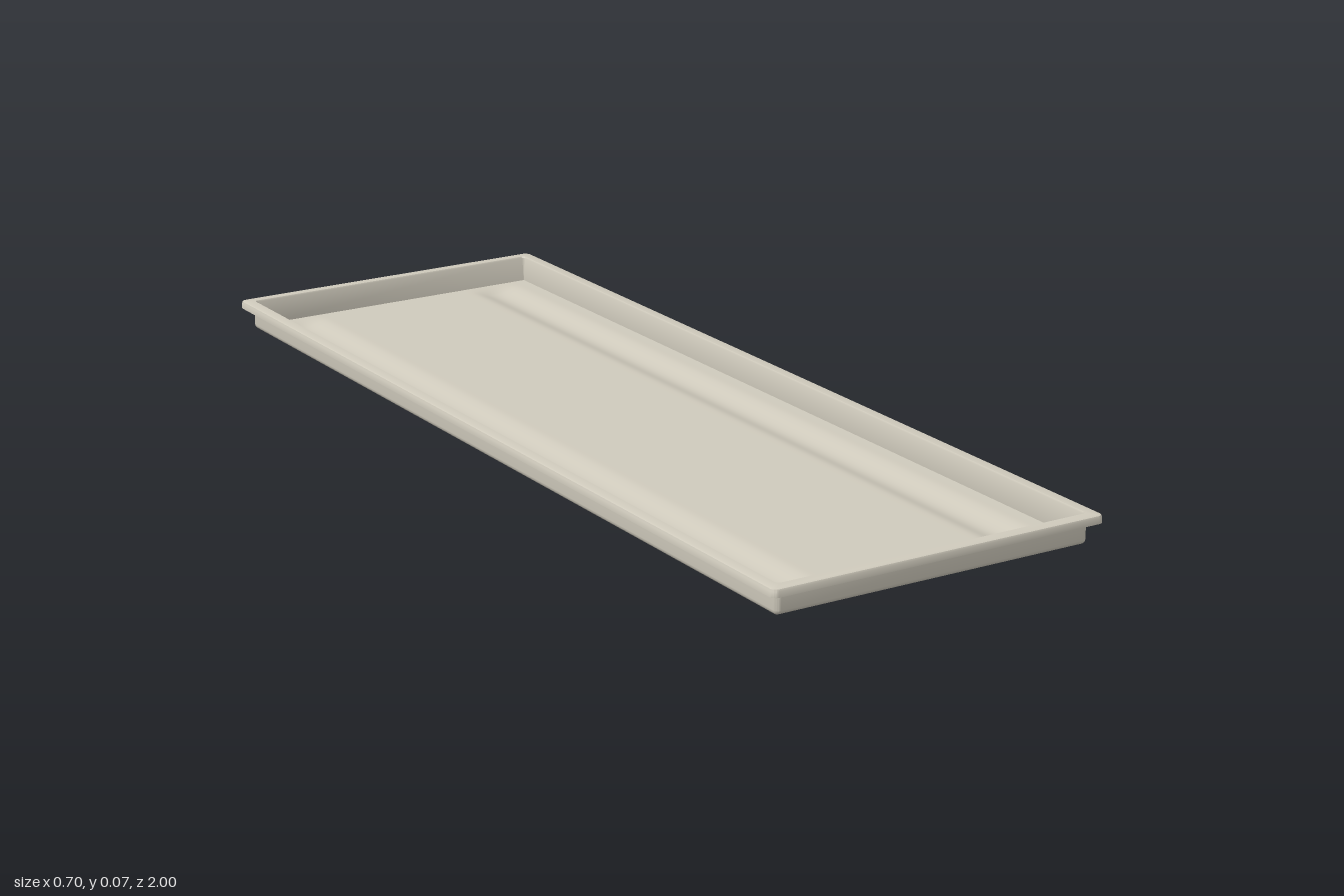
import * as THREE from 'three';
import { toCreasedNormals } from 'three/addons/utils/BufferGeometryUtils.js';

const beige = new THREE.MeshStandardMaterial({ color: 0xcfcabc });
beige.name = 'beige';

// Rounded-rectangle outline, counterclockwise from above
function outline([hx, hz, r, y]) {
  const pts = [];
  const steps = 4;
  for (let c = 0; c < 4; c++) {
    const sx = c === 0 || c === 3 ? 1 : -1;
    const sz = c < 2 ? -1 : 1;
    for (let i = 0; i <= steps; i++) {
      const a = (c + i / steps) * Math.PI / 2;
      pts.push([sx * (hx - r) + r * Math.cos(a), y, sz * (hz - r) - r * Math.sin(a)]);
    }
  }
  return pts;
}

// Skin a series of outlines into one surface
function loft(rings) {
  const pos = [], index = [];
  const n = 20;
  rings.forEach(ring => outline(ring).forEach(p => pos.push(...p)));
  for (let j = 0; j < rings.length - 1; j++) {
    for (let i = 0; i < n; i++) {
      const a = j * n + i, b = j * n + (i + 1) % n;
      index.push(a, b, b + n, a, b + n, a + n);
    }
  }
  const g = new THREE.BufferGeometry();
  g.setAttribute('position', new THREE.Float32BufferAttribute(pos, 3));
  g.setIndex(index);
  return toCreasedNormals(g, 0.7);
}

// Depth of the two long runners pressed into the floor
function runnerDepth(x, z) {
  const d = Math.min(1, Math.abs(Math.abs(x) - 0.235) / 0.06);
  const fade = 1 - THREE.MathUtils.smoothstep(Math.abs(z), 0.93, 0.968);
  return 0.0125 * 0.5 * (1 + Math.cos(Math.PI * d)) * fade;
}

// Flat sheet with the runners pressed down into it
function floorSheet(hx, hz, y, facingUp) {
  const g = new THREE.PlaneGeometry(hx * 2, hz * 2, 80, 100);
  g.rotateX(facingUp ? -Math.PI / 2 : Math.PI / 2);
  const p = g.attributes.position;
  for (let i = 0; i < p.count; i++) p.setY(i, y - runnerDepth(p.getX(i), p.getZ(i)));
  g.computeVertexNormals();
  return g;
}

export function createModel() {
  const model = new THREE.Group();
  model.name = 'tray';
  const add = (name, geometry) => {
    const mesh = new THREE.Mesh(geometry, beige);
    mesh.name = name;
    model.add(mesh);
  };

  // Side walls, rounded at the base
  add('outerWall', loft([
    [0.321, 0.969, 0.001, 0.0125],
    [0.326, 0.974, 0.005, 0.0138],
    [0.329, 0.978, 0.008, 0.017],
    [0.33, 0.98, 0.01, 0.022],
    [0.33, 0.98, 0.01, 0.066],
  ]));
  add('innerWall', loft([
    [0.327, 0.977, 0.008, 0.071],
    [0.325, 0.975, 0.006, 0.068],
    [0.325, 0.975, 0.001, 0.0175],
  ]));

  // Folded rim: underside, skirt and rounded top
  add('rim', loft([
    [0.33, 0.98, 0.01, 0.066],
    [0.345, 0.995, 0.01, 0.066],
    [0.345, 0.995, 0.01, 0.055],
    [0.35, 1, 0.012, 0.055],
    [0.35, 1, 0.012, 0.066],
    [0.3485, 0.9985, 0.011, 0.0695],
    [0.345, 0.995, 0.01, 0.071],
    [0.327, 0.977, 0.008, 0.071],
  ]));

  // Floor with runners showing on both sides
  add('floorTop', floorSheet(0.325, 0.975, 0.0175, true));
  add('floorUnderside', floorSheet(0.321, 0.969, 0.0125, false));

  return model;
}
